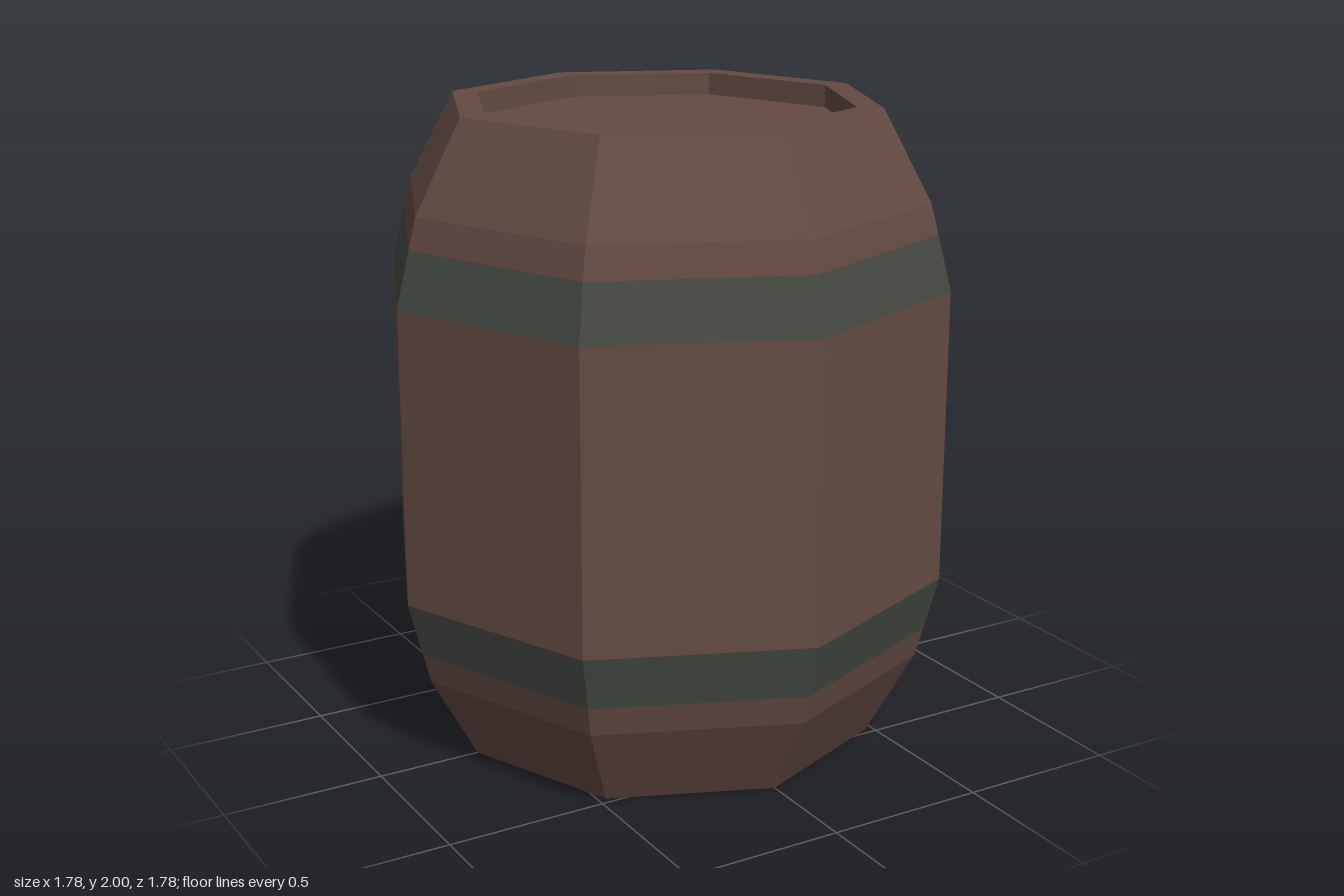
import * as THREE from 'three';

const SIDES = 8;

export function createModel() {
  const barrel = new THREE.Group();
  barrel.name = 'barrel';

  const wood = new THREE.MeshStandardMaterial({ color: 0x644a43 });
  wood.name = 'brown wood';
  const iron = new THREE.MeshStandardMaterial({ color: 0x454a42 });
  iron.name = 'dark iron';
  wood.flatShading = iron.flatShading = true;

  // Eight-sided ring from [radius, height] points, listed so the outside runs upward
  function ring(name, profile, material) {
    const points = profile.map(([r, y]) => new THREE.Vector2(r, y));
    const mesh = new THREE.Mesh(new THREE.LatheGeometry(points, SIDES), material);
    mesh.name = name;
    barrel.add(mesh);
  }

  // Recessed end, rim, chamfer and hoop; the top half mirrors the bottom
  const end = [[0, 0.07], [0.592, 0.07], [0.592, 0], [0.673, 0], [0.822, 0.275], [0.847, 0.37]];
  const hoop = [[0.847, 0.37], [0.89, 0.54]];
  const flip = (profile) => profile.map(([r, y]) => [r, 2 - y]).reverse();

  ring('bottomEnd', end, wood);
  ring('lowerHoop', hoop, iron);
  ring('staves', [[0.89, 0.54], [0.89, 1.46]], wood);
  ring('upperHoop', flip(hoop), iron);
  ring('topEnd', flip(end), wood);

  return barrel;
}
